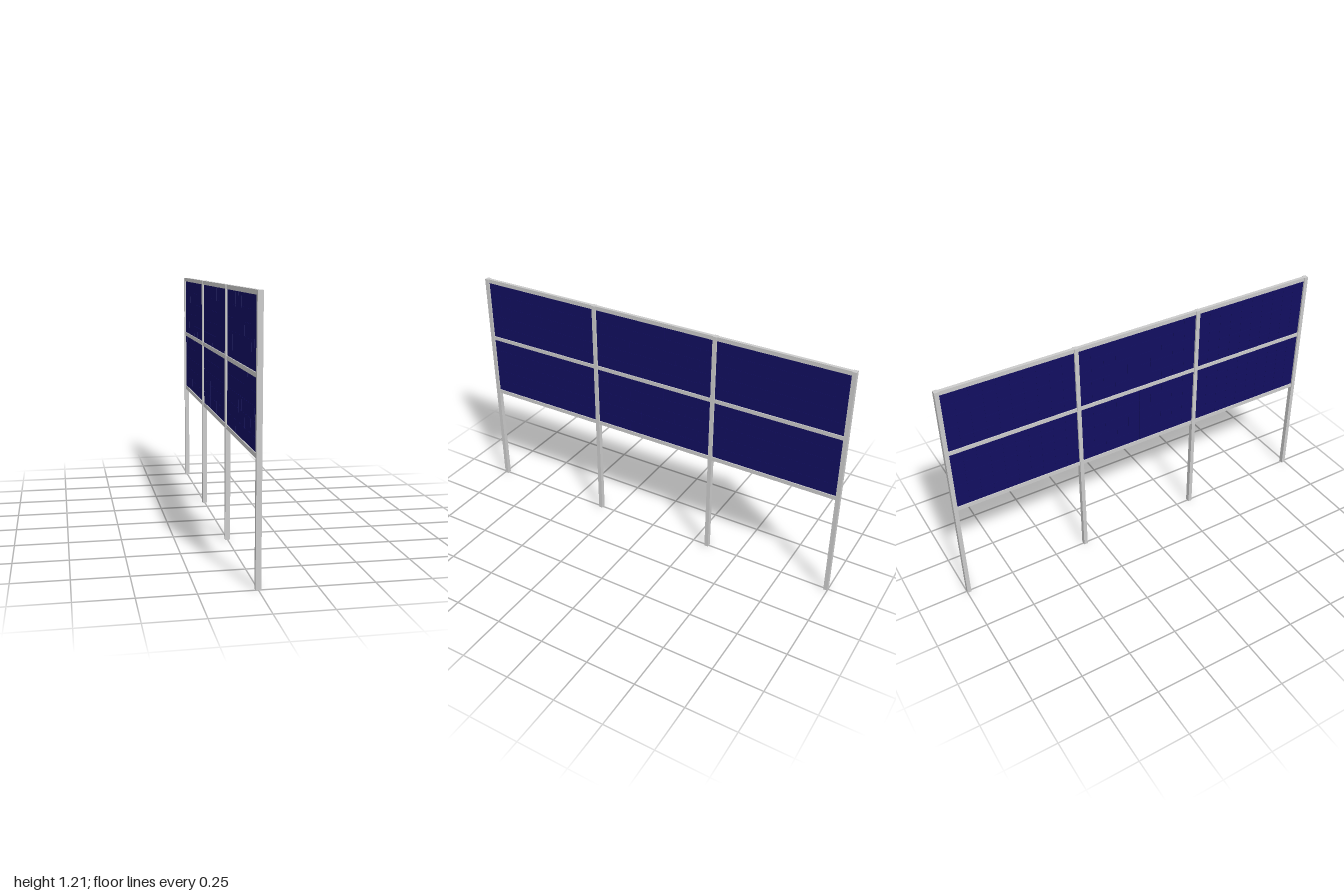
import * as THREE from 'three';
import { mergeGeometries } from 'three/addons/utils/BufferGeometryUtils.js';

const POST_H = 1.21, POST_W = 0.024, POST_D = 0.02;
const POST_Z = [0.99, 0.33, -0.33, -0.99];
const RAIL_Y = [0.55, 0.875, 1.2];
const RAIL_H = 0.02, RAIL_W = 0.016;
const COLS = 10, ROWS = 5, GAP = 0.0012;

export function createModel() {
  const model = new THREE.Group();
  model.name = 'solarFence';
  const metal = new THREE.MeshStandardMaterial({ color: 0xcccccc });
  const navy = new THREE.MeshStandardMaterial({ color: 0x110e60 });

  const box = (name, parent, material, size, pos) => {
    const mesh = new THREE.Mesh(new THREE.BoxGeometry(...size), material);
    mesh.position.set(...pos);
    mesh.name = name;
    parent.add(mesh);
  };

  // Square posts standing on the ground
  for (const z of POST_Z) box('post', model, metal, [POST_W, POST_H, POST_D], [0, POST_H / 2, z]);

  for (let bay = 0; bay < 3; bay++) {
    const z0 = POST_Z[bay] - POST_D / 2, z1 = POST_Z[bay + 1] + POST_D / 2;

    // Three rails spanning between neighbouring posts
    for (const y of RAIL_Y) box('rail', model, metal, [RAIL_W, RAIL_H, z0 - z1], [0, y, (z0 + z1) / 2]);

    // Two panels per bay, each a thin backing with a grid of cells on both faces
    for (let row = 0; row < 2; row++) {
      const panel = new THREE.Group();
      panel.name = 'solarPanel';
      const y0 = RAIL_Y[row] + RAIL_H / 2, h = RAIL_Y[row + 1] - RAIL_H / 2 - y0;
      // The lower middle panel leaves a narrow slit beside its post
      const end = bay === 1 && row === 0 ? z1 + 0.005 : z1;
      const w = z0 - end;
      panel.position.set(0, y0 + h / 2, (z0 + end) / 2);
      box('backing', panel, navy, [0.006, h, w], [0, 0, 0]);

      const cells = [];
      const ch = h / ROWS, cw = w / COLS;
      for (let i = 0; i < COLS; i++) {
        for (let j = 0; j < ROWS; j++) {
          const cell = new THREE.BoxGeometry(0.0075, ch - GAP, cw - GAP);
          cell.translate(0, (j + 0.5) * ch - h / 2, (i + 0.5) * cw - w / 2);
          cells.push(cell);
        }
      }
      const grid = new THREE.Mesh(mergeGeometries(cells), navy);
      grid.name = 'solarCells';
      panel.add(grid);
      model.add(panel);
    }
  }
  return model;
}
